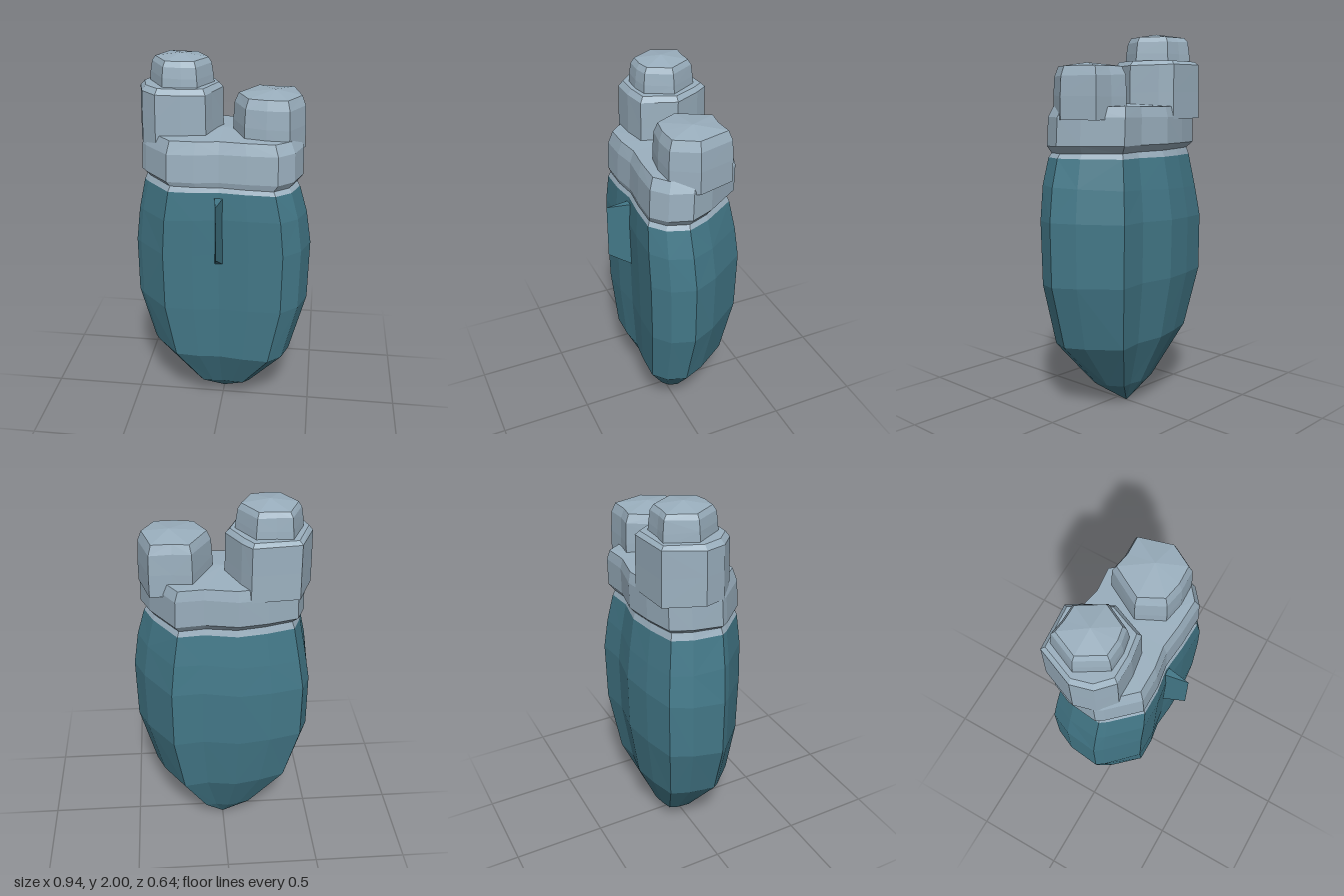
import * as THREE from 'three';

const teal = new THREE.MeshStandardMaterial({ color: 0x437888, flatShading: true });
const slate = new THREE.MeshStandardMaterial({ color: 0x9bb0bf, flatShading: true });

// Small repeatable wobble that gives the faceted, hewn look
const wobble = (i, j) => Math.sin(i * 12.9 + j * 7.3 + 1.7);

// Lofts an [x, z] outline through levels [y, scaleX, scaleZ, shiftX, shiftZ]
// and closes both ends with fans to the points bottom and top.
function loft(name, material, outline, pivot, levels, bottom, top, rough = 0) {
  const n = outline.length;
  const pos = [];
  levels.forEach(([y, sx, sz, dx = 0, dz = 0], j) => {
    const inner = j > 0 && j < levels.length - 1;
    outline.forEach(([x, z], i) => {
      const k = inner ? rough * wobble(i, j) : 0;
      pos.push(
        pivot[0] + dx + (x - pivot[0]) * sx * (1 + k * 0.4),
        y + k,
        pivot[1] + dz + (z - pivot[1]) * sz * (1 + k * 0.4)
      );
    });
  });
  const b = pos.length / 3;
  pos.push(...bottom, ...top);
  const idx = [];
  const last = (levels.length - 1) * n;
  for (let i = 0; i < n; i++) {
    const i2 = (i + 1) % n;
    idx.push(b, i2, i, b + 1, last + i, last + i2);
    for (let j = 0; j < levels.length - 1; j++) {
      const p = j * n + i, q = j * n + i2, r = q + n, s = p + n;
      // Alternate the diagonals for an irregular facet pattern
      if ((i + j) % 2) idx.push(p, q, r, p, r, s);
      else idx.push(p, q, s, q, r, s);
    }
  }
  const geo = new THREE.BufferGeometry();
  geo.setAttribute('position', new THREE.Float32BufferAttribute(pos, 3));
  geo.setIndex(idx);
  const flat = geo.toNonIndexed();
  flat.computeVertexNormals();
  const mesh = new THREE.Mesh(flat, material);
  mesh.name = name;
  return mesh;
}

export function createModel() {
  const model = new THREE.Group();
  model.name = 'model';

  // Plan shared by the pod and the collar, from -x round the front to +x and back
  const plan = [
    [-0.48, 0.03], [-0.45, 0.07], [-0.30, 0.22], [-0.14, 0.22], [0, 0.2], [0.16, 0.215],
    [0.34, 0.22], [0.43, 0.15], [0.475, 0.03], [0.42, -0.1], [0.28, -0.3], [0.12, -0.285],
    [-0.07, -0.32], [-0.24, -0.295], [-0.41, -0.25], [-0.46, -0.14]
  ];
  const pivot = [0, -0.05];

  // Pointed lower pod
  model.add(loft('pod', teal, plan, pivot, [
    [0.12, 0.36, 0.4, 0, 0.01],
    [0.38, 0.8, 0.85, 0, 0.015],
    [0.7, 0.98, 0.98],
    [1.02, 0.985, 1],
    [1.2, 0.93, 0.97, 0, 0.01],
    [1.36, 0.85, 0.9, 0, 0.02]
  ], [0, 0, -0.065], [0, 1.36, -0.05], 0.02));

  // Collar with a narrow neck at its base
  model.add(loft('collar', slate, plan, pivot, [
    [1.36, 0.85, 0.9, 0, 0.02],
    [1.39, 0.82, 0.86, 0, 0.02],
    [1.42, 0.88, 0.93, 0, 0.01],
    [1.56, 0.87, 0.92, 0, 0.005],
    [1.62, 0.82, 0.86]
  ], [0, 1.36, -0.05], [0, 1.635, -0.03], 0.008));

  // Tall tower: wide lower tier
  const wide = [
    [-0.44, -0.07], [-0.41, 0.04], [-0.33, 0.115], [-0.2, 0.115], [-0.075, 0.095],
    [-0.05, 0.03], [-0.005, -0.08], [-0.075, -0.22], [-0.12, -0.285], [-0.36, -0.265]
  ];
  model.add(loft('tallTowerBase', slate, wide, [-0.22, -0.09], [
    [1.555, 1, 1], [1.7, 0.99, 0.99], [1.835, 0.98, 0.98], [1.855, 0.88, 0.88]
  ], [-0.22, 1.555, -0.09], [-0.22, 1.86, -0.09], 0.008));

  // Tall tower: narrow upper tier
  const narrow = [
    [-0.39, -0.08], [-0.3, 0.065], [-0.2, 0.07], [-0.12, 0.055],
    [-0.05, -0.08], [-0.14, -0.225], [-0.24, -0.225], [-0.32, -0.235]
  ];
  model.add(loft('tallTowerTop', slate, narrow, [-0.22, -0.08], [
    [1.84, 0.98, 1], [1.9, 0.95, 0.98], [1.96, 0.9, 0.93], [1.98, 0.8, 0.82]
  ], [-0.22, 1.84, -0.08], [-0.22, 2, -0.08], 0.008));

  // Short tower
  const short = [
    [0.05, -0.02], [0.12, 0.115], [0.23, 0.135], [0.345, 0.13],
    [0.42, 0], [0.365, -0.195], [0.25, -0.19], [0.155, -0.205]
  ];
  model.add(loft('shortTower', slate, short, [0.24, -0.03], [
    [1.555, 1, 1], [1.68, 1, 1], [1.78, 0.97, 0.97], [1.82, 0.86, 0.86]
  ], [0.24, 1.555, -0.03], [0.26, 1.84, -0.03], 0.01));

  // Sharp-edged wedge fin on the front, its foot sloping back to the pod
  const wedge = new THREE.Shape([
    new THREE.Vector2(-0.026, -0.17), new THREE.Vector2(0.026, -0.17), new THREE.Vector2(0, -0.32)
  ]);
  const finGeo = new THREE.ExtrudeGeometry(wedge, { depth: 1, bevelEnabled: false });
  finGeo.rotateX(-Math.PI / 2);
  const p = finGeo.attributes.position;
  for (let i = 0; i < p.count; i++) {
    const tip = p.getZ(i) > 0.3;
    p.setY(i, p.getY(i) > 0.5 ? 1.33 : tip ? 1.04 : 0.94);
  }
  finGeo.computeVertexNormals();
  const fin = new THREE.Mesh(finGeo, teal);
  fin.name = 'fin';
  model.add(fin);

  return model;
}
